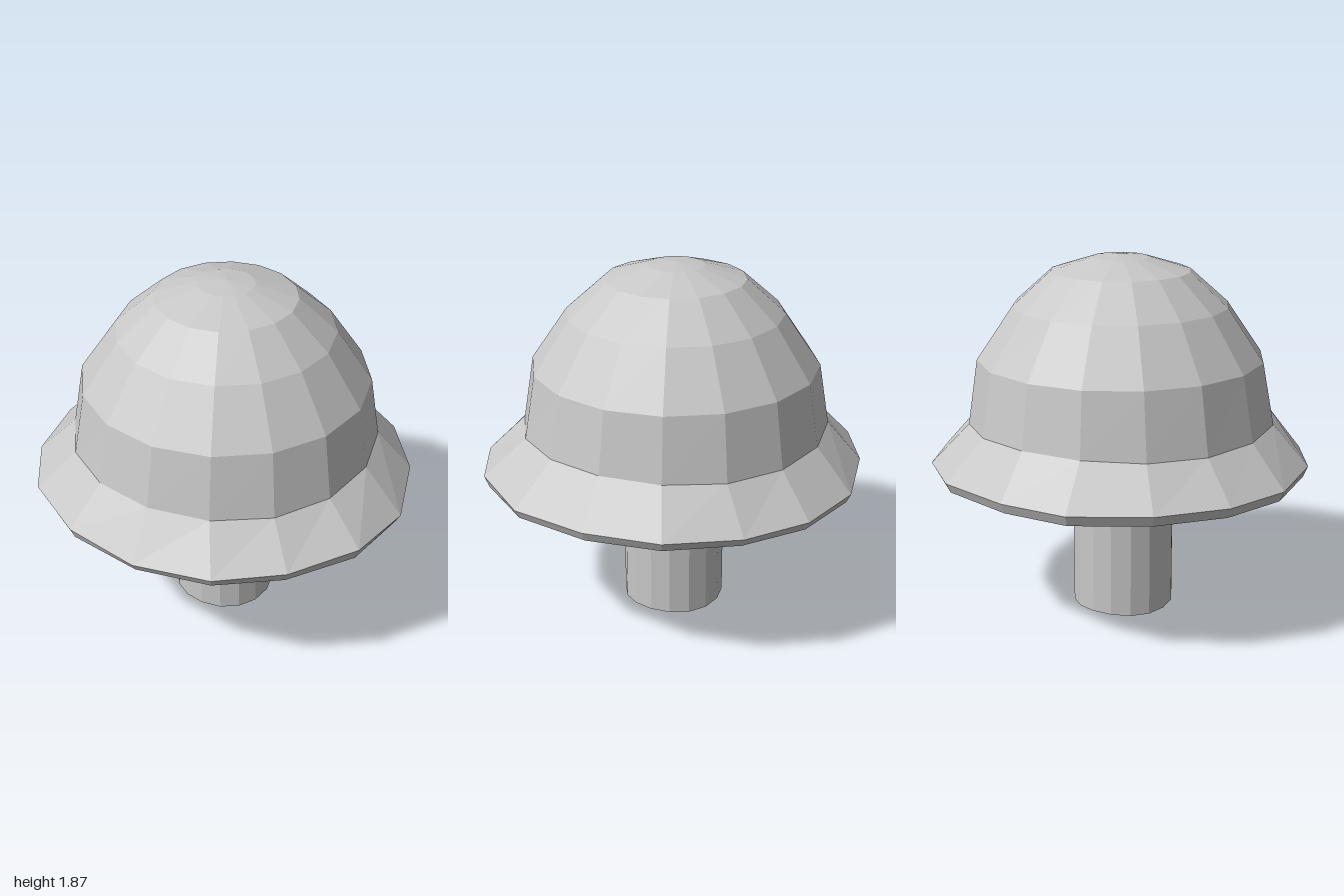
import * as THREE from 'three';

const SIDES = 16;

// One closed ring of points; angle 0 is the front and grows towards +x
function ring(r, y, cx = 0, cz = 0, wobble = 0) {
  return Array.from({ length: SIDES }, (_, i) => {
    const a = (i / SIDES) * Math.PI * 2;
    return [cx + r * Math.sin(a), y + wobble * Math.sin(3 * a + 1), cz + r * Math.cos(a)];
  });
}

// Joins successive rings with quads facing outwards
function loft(rings) {
  const index = [];
  for (let j = 0; j < rings.length - 1; j++) {
    for (let i = 0; i < SIDES; i++) {
      const a = j * SIDES + i, b = j * SIDES + ((i + 1) % SIDES);
      index.push(a, b, b + SIDES, a, b + SIDES, a + SIDES);
    }
  }
  const geo = new THREE.BufferGeometry();
  geo.setAttribute('position', new THREE.Float32BufferAttribute(rings.flat(2), 3));
  geo.setIndex(index);
  const flat = geo.toNonIndexed();
  flat.computeVertexNormals();
  return flat;
}

export function createModel() {
  const group = new THREE.Group();
  const grey = new THREE.MeshStandardMaterial({ color: 0xc8c8c8, flatShading: true, side: THREE.DoubleSide });
  grey.name = 'plain grey';

  // Uneven, hand-shaped brim edge
  const rim = [
    [-0.02, 0.825, 0.97], [0.37, 0.805, 0.88], [0.7, 0.81, 0.67], [0.9, 0.82, 0.37],
    [1, 0.835, 0], [0.92, 0.81, -0.37], [0.67, 0.815, -0.7], [0.35, 0.81, -0.91],
    [-0.03, 0.805, -0.975], [-0.38, 0.81, -0.92], [-0.69, 0.815, -0.72], [-0.91, 0.82, -0.36],
    [-1, 0.82, -0.02], [-0.91, 0.82, 0.37], [-0.71, 0.82, 0.69], [-0.42, 0.82, 0.9],
  ];
  const rimBottom = rim.map(([x, y, z]) => [x * 0.975, 0.767 + (y - 0.82) * 0.3, z * 0.975]);

  // Cap: hollowed conical underside, lip, sloping brim and dome
  const cap = new THREE.Mesh(loft([
    ring(0, 0.923),
    rimBottom,
    rim,
    ring(0.79, 1.02, -0.01, -0.005, 0.01),
    ring(0.735, 1.345, -0.01, -0.01),
    ring(0.552, 1.612, -0.01, -0.01),
    ring(0.358, 1.785, -0.01, -0.01),
    ring(0.145, 1.852, -0.012, -0.012),
    ring(0, 1.868, -0.012, -0.012),
  ]), grey);
  cap.name = 'cap';

  // Stem: tube open at the foot, running up into the hollow
  const stem = new THREE.Mesh(loft([
    ring(0.265, 0.006, -0.005, 0.002, 0.005),
    ring(0.265, 0.885, -0.005, 0.002),
  ]), grey);
  stem.name = 'stem';

  group.add(cap, stem);
  return group;
}
